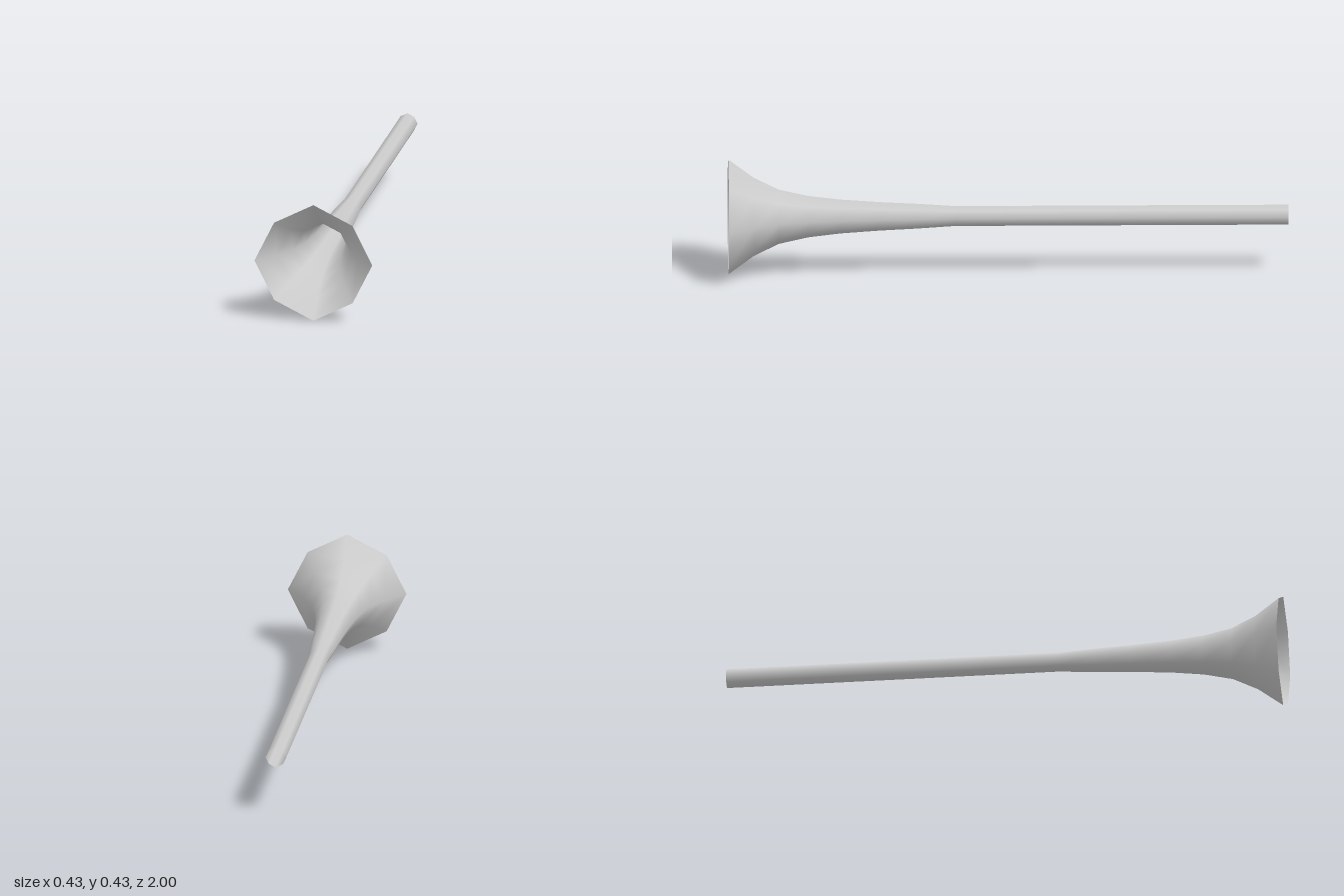
import * as THREE from 'three';

export function createModel() {
  const group = new THREE.Group();
  const material = new THREE.MeshStandardMaterial({ color: 0xcccccc, side: THREE.DoubleSide });

  // Open horn profile as [radius, position along the axis], mouthpiece to bell rim
  const profile = [
    [0.037, -1], [0.037, 0.19], [0.046, 0.325], [0.053, 0.46], [0.063, 0.6],
    [0.077, 0.715], [0.101, 0.82], [0.146, 0.91], [0.2135, 1],
  ].map(([r, t]) => new THREE.Vector2(r, t));
  const geometry = new THREE.LatheGeometry(profile, 8);

  // Pull the diagonal corners in slightly, giving a softened-square octagon
  const pos = geometry.attributes.position;
  const diagonal = (2 / 3) * Math.SQRT2;
  for (let i = 0; i < pos.count; i++) {
    const x = pos.getX(i), z = pos.getZ(i);
    if (Math.min(Math.abs(x), Math.abs(z)) > 0.01) {
      pos.setX(i, x * diagonal);
      pos.setZ(i, z * diagonal);
    }
  }

  // Lay the axis along z with the bell facing forward
  geometry.rotateX(Math.PI / 2);
  const horn = new THREE.Mesh(geometry, material);
  horn.name = 'hornTubeAndBell';
  horn.position.y = 0.2135;
  group.add(horn);
  return group;
}
